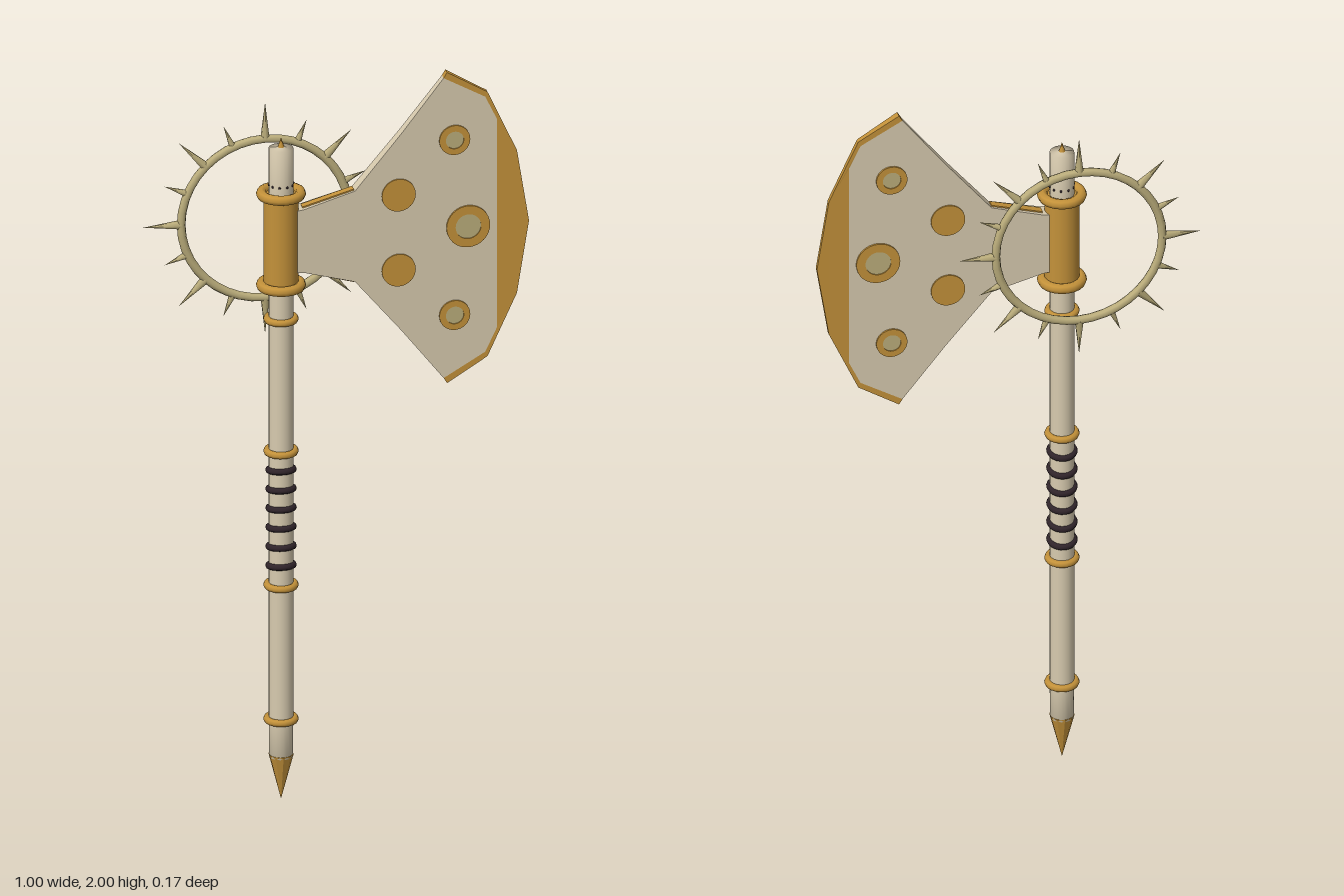
import * as THREE from 'three';

const material = (name, color, extra = {}) => {
  const m = new THREE.MeshStandardMaterial({ color, ...extra });
  m.name = name;
  return m;
};

export function createModel() {
  const bone = material('bone', 0xd8cbaf);
  const gold = material('gold', 0xc4923a);
  const brass = material('pale brass', 0xbcae7c);
  const cord = material('dark cord', 0x30242a);

  const model = new THREE.Group();
  model.name = 'battleAxe';
  const add = (name, geometry, mat, parent = model) => {
    const mesh = new THREE.Mesh(geometry, mat);
    mesh.name = name;
    parent.add(mesh);
    return mesh;
  };

  // Pole and everything wrapped round it
  const pole = new THREE.Group();
  pole.name = 'pole';
  pole.position.set(-0.155, 0, 0.02);
  model.add(pole);

  const profile = [[0, 0.12], [0.031, 0.12], [0.032, 0.225], [0.032, 1.7], [0.032, 1.823], [0, 1.826]];
  add('shaft', new THREE.LatheGeometry(profile.map(p => new THREE.Vector2(...p)), 20), bone, pole);

  const tip = new THREE.ConeGeometry(0.033, 0.127, 10).toNonIndexed();
  tip.rotateX(Math.PI).translate(0, 0.0635, 0).computeVertexNormals();
  add('buttSpike', tip, gold, pole);
  add('topSpike', new THREE.ConeGeometry(0.009, 0.028, 8).translate(0, 1.838, 0), gold, pole);

  add('collar', new THREE.CylinderGeometry(0.046, 0.046, 0.26, 16).translate(0, 1.567, 0), gold, pole);

  const band = (name, y, radius, tube, mat, tilt = 0) => {
    const mesh = add(name, new THREE.TorusGeometry(radius, tube, 8, 20).rotateX(Math.PI / 2), mat, pole);
    mesh.position.y = y;
    mesh.rotation.x = tilt;
  };
  for (const y of [1.695, 1.44]) band('collarFlange', y, 0.051, 0.014, gold);
  for (const y of [1.345, 0.975, 0.6, 0.225]) band('shaftBand', y, 0.036, 0.01, gold);
  for (let i = 0; i < 6; i++) band('gripCord', 0.655 + i * 0.0535, 0.032, 0.009, cord, -0.17);

  // Small studs above the collar
  for (let i = 0; i < 10; i++) {
    const a = (i / 10) * Math.PI * 2;
    const stud = add('stud', new THREE.SphereGeometry(0.0035, 6, 4), cord, pole);
    stud.position.set(Math.cos(a) * 0.032, 1.722, Math.sin(a) * 0.032);
  }

  // Spiked hoop behind the pole, long and short spikes alternating
  const hoop = new THREE.Group();
  hoop.name = 'spikedHoop';
  hoop.position.set(-0.177, 1.59, -0.075);
  model.add(hoop);
  add('hoopRing', new THREE.TorusGeometry(0.222, 0.0115, 8, 40), brass, hoop);
  for (let i = 0; i < 16; i++) {
    const length = i % 2 ? 0.065 : 0.1;
    const spike = new THREE.ConeGeometry(i % 2 ? 0.01 : 0.0125, length, 6);
    spike.translate(0, 0.223 + length / 2, 0).rotateZ((i / 16) * Math.PI * 2);
    add('hoopSpike', spike, brass, hoop);
  }

  // Axe blade: flat outlines given a thickness that tapers toward the edge
  const blade = new THREE.Group();
  blade.name = 'blade';
  blade.position.set(0, 1.565, 0.02);
  model.add(blade);
  const halfThickness = x => Math.max(0.006, 0.023 - 0.032 * (x + 0.11));
  const slab = (name, shape, mat, raise = 0) => {
    const g = new THREE.ExtrudeGeometry(shape, { depth: 2, bevelEnabled: false, curveSegments: 16 });
    const p = g.attributes.position;
    for (let i = 0; i < p.count; i++) {
      p.setZ(i, (p.getZ(i) > 1 ? 1 : -1) * (halfThickness(p.getX(i)) + raise));
    }
    g.computeVertexNormals();
    return add(name, g, mat, blade);
  };
  const outline = points => new THREE.Shape(points.map(p => new THREE.Vector2(...p)));
  const flip = points => points.map(([x, y]) => [x, -y]).reverse();

  const neck = [[-0.13, 0.085], [-0.1, 0.088], [0.037, 0.127], [0.16, 0.275]];
  const inner = [[0.273, 0.42], [0.384, 0.357], [0.415, 0.292]];
  const outer = [[0.282, 0.435], [0.39, 0.37], [0.468, 0.2]];
  const upper = [...neck, ...inner];
  slab('bladeBody', outline([...upper, ...flip(upper)]), bone);
  slab('cuttingEdge', outline([...outer, [0.5, 0], ...flip(outer), ...flip(inner).reverse(),
    ...[...inner].reverse()]), gold);

  // Gold strips along the neck edges
  for (const side of [1, -1]) {
    const strip = add('neckStrip', new THREE.BoxGeometry(0.142, 0.006, 0.022), gold, blade);
    strip.position.set(-0.032, side * 0.108, 0);
    strip.rotation.z = side * 0.277;
  }

  // Round ornaments showing on both faces
  const disc = (x, y, r, hole = 0) => {
    const shape = new THREE.Shape().absarc(x, y, r, 0, Math.PI * 2);
    if (hole) shape.holes.push(new THREE.Path().absarc(x, y, hole, 0, Math.PI * 2, true));
    return shape;
  };
  const ringed = (x, y, r, hole) => {
    slab('ornamentRing', disc(x, y, r, hole), gold, 0.005);
    slab('ornamentCentre', disc(x, y, hole), brass, 0.002);
  };
  for (const side of [1, -1]) {
    slab('ornamentDisc', disc(0.153, side * 0.105, 0.045), gold, 0.004);
    ringed(0.302, side * 0.245, 0.041, 0.024);
  }
  ringed(0.338, 0, 0.058, 0.034);

  return model;
}
